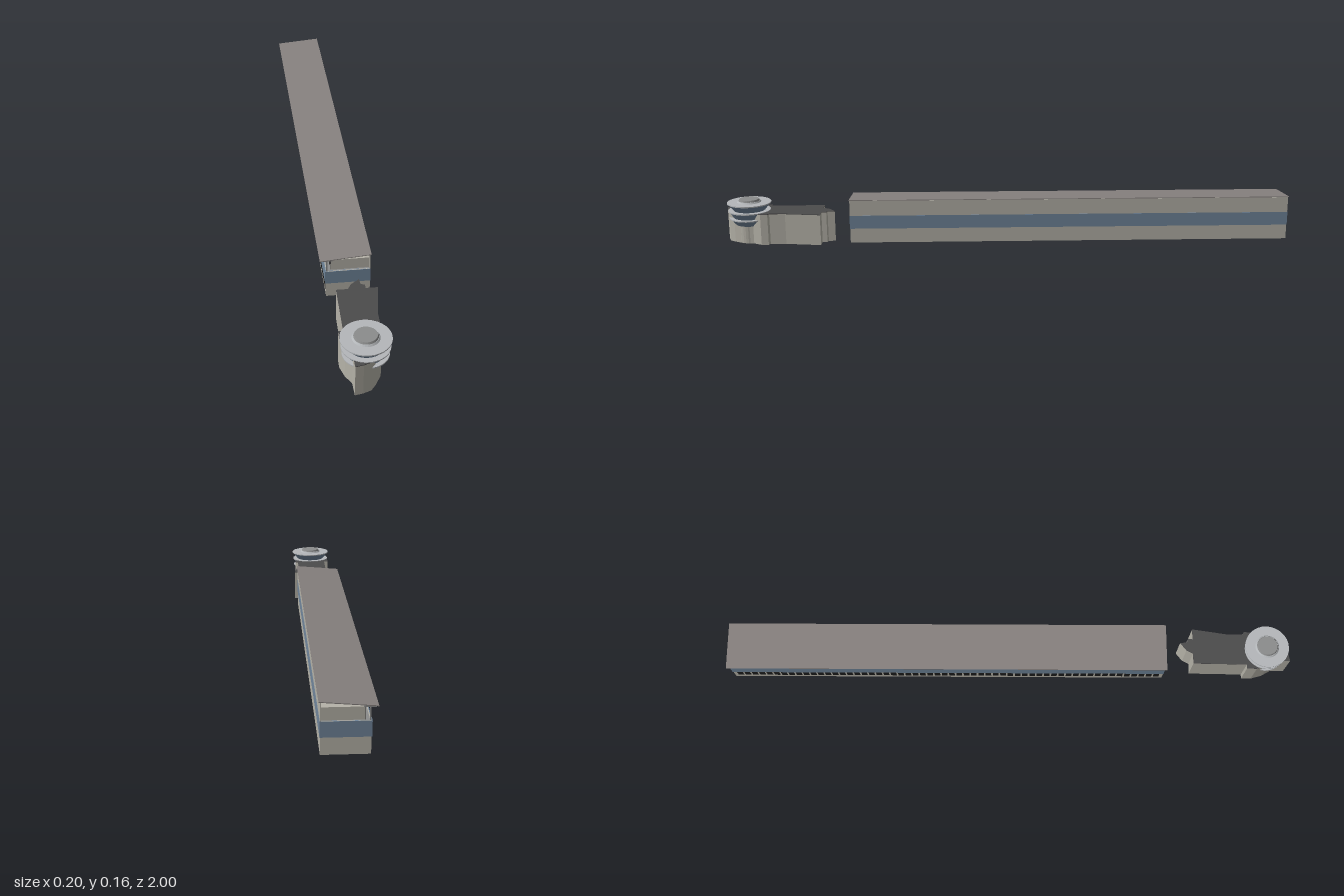
import * as THREE from 'three';

const mat = (color) => new THREE.MeshStandardMaterial({ color, side: THREE.DoubleSide, flatShading: true });

export function createModel() {
  const wall = mat(0xb5b2a8), blue = mat(0x70859a), roofMat = mat(0x86807e);
  const dark = mat(0x4c4b4c), black = mat(0x1c1c1c), light = mat(0xb4b7ba), grey = mat(0x8b8c8c);
  const model = new THREE.Group();

  const add = (parent, name, geometry, material) => {
    const m = new THREE.Mesh(geometry, material);
    m.name = name;
    parent.add(m);
    return m;
  };
  // Box given by its minimum and maximum corners
  const box = (parent, name, material, x0, x1, y0, y1, z0, z1) => {
    const m = add(parent, name, new THREE.BoxGeometry(x1 - x0, y1 - y0, z1 - z0), material);
    m.position.set((x0 + x1) / 2, (y0 + y1) / 2, (z0 + z1) / 2);
    return m;
  };

  // Long hall: open-bottomed shell, slightly turned
  const hall = new THREE.Group();
  hall.name = 'longHall';
  hall.position.set(-0.0075, 0, -0.222);
  hall.rotation.y = 0.016;
  model.add(hall);
  const H = 0.775, L = -0.062, R = 0.079, T = 0.003;
  box(hall, 'plainWall', wall, R - T, R, 0.007, 0.159, -H, H);
  box(hall, 'windowWall', wall, L, L + T, 0.007, 0.105, -H, H);
  box(hall, 'upperFloor', dark, L + T, R - T, 0.055, 0.058, -H + T, H - T);
  box(hall, 'balconyFloor', grey, L + T, R - T, 0.1, 0.104, -H + T, H - T);
  for (const s of [-1, 1]) {
    const z0 = s > 0 ? H - T : -H, z1 = z0 + T;
    box(hall, 'endWall', wall, L, R, 0.007, 0.105, z0, z1);
    box(hall, 'endBand', blue, L - 0.003, R + 0.001, 0.058, 0.105, z0 - 0.001, z1 + 0.001);
  }
  box(hall, 'sideBand', blue, R - T, R + 0.001, 0.058, 0.105, -H, H);
  box(hall, 'sideBand', blue, L - 0.003, L + T, 0.058, 0.105, -H, H);

  // Recessed upper storey, its mullions and the edge posts
  box(hall, 'upperStorey', wall, L + 0.016, R - T, 0.104, 0.142, -H + 0.01, H - 0.01);
  const bays = 10, perBay = 6;
  for (let i = 0; i <= bays; i++) {
    const z = -H + 0.004 + (i / bays) * (2 * H - 0.008);
    box(hall, 'roofPost', grey, L, L + 0.004, 0.104, 0.147, z - 0.002, z + 0.002);
    box(hall, 'roofBeam', grey, L - 0.014, L + 0.02, 0.143, 0.147, z - 0.002, z + 0.002);
  }
  for (let i = 0; i <= bays * perBay; i++) {
    const z = -H + 0.012 + (i / (bays * perBay)) * (2 * H - 0.024);
    box(hall, 'mullion', dark, L + 0.014, L + 0.016, 0.104, 0.142, z - 0.001, z + 0.001);
  }

  // Row of dark openings along the ground floor
  const count = 58, step = (2 * H - 0.02) / count;
  for (let i = 0; i < count; i++) {
    const z = -H + 0.01 + (i + 0.5) * step;
    box(hall, 'window', black, L - 0.001, L + T + 0.001, 0.024, 0.051, z - step * 0.38, z + step * 0.38);
  }

  // Thin roof rising towards the plain wall and overhanging the windows
  const roof = box(hall, 'roof', roofMat, -0.0825, 0.0825, 0.153, 0.1555, -H - 0.002, H + 0.002);
  roof.rotation.z = 0.085;

  // Annex: plan outlines in x and z, raised straight up
  const prism = (parent, name, pts, y0, y1, material) => {
    const shape = new THREE.Shape(pts.map(([x, z]) => new THREE.Vector2(x, z)));
    const g = new THREE.ExtrudeGeometry(shape, { depth: y1 - y0, bevelEnabled: false });
    g.rotateX(Math.PI / 2);
    g.translate(0, y1, 0);
    return add(parent, name, g, material);
  };
  const annex = new THREE.Group();
  annex.name = 'annex';
  model.add(annex);
  const plan = [
    [-0.037, 0.655], [0, 0.655], [0.012, 0.632], [0.04, 0.61], [0.042, 0.635], [0.055, 0.638], [0.055, 0.655],
    [0.093, 0.655], [0.076, 0.78], [0.076, 0.835], [0.086, 0.84], [0.086, 0.865], [0.068, 0.895],
    [0.064, 0.93], [0.045, 0.965], [0.03, 0.985], [0.005, 0.995], [-0.02, 1.0],
    [-0.022, 0.95], [-0.04, 0.92], [-0.052, 0.88], [-0.052, 0.845], [-0.037, 0.845],
  ];
  prism(annex, 'annexWalls', plan, 0.001, 0.11, wall);
  prism(annex, 'annexRoof', plan, 0.11, 0.112, dark);

  // Round tower: drum, three flared glass tiers with pale rims, and a cap
  const tower = new THREE.Group();
  tower.name = 'tower';
  tower.position.set(0.021, 0, 0.914);
  model.add(tower);
  const round = (name, rTop, rBottom, y0, y1, material) => {
    const m = add(tower, name, new THREE.CylinderGeometry(rTop, rBottom, y1 - y0, 32), material);
    m.position.y = (y0 + y1) / 2;
  };
  round('drum', 0.046, 0.046, 0.001, 0.14, wall);
  round('drumBase', 0.046, 0.046, 0, 0.001, dark);
  const tiers = [[0.063, 0.084, 0.05, 0.068], [0.087, 0.11, 0.056, 0.071], [0.113, 0.138, 0.055, 0.074]];
  for (const [y0, y1, r0, r1] of tiers) {
    round('glassTier', r1, r0, y0, y1, blue);
    round('tierRim', r1 + 0.003, r1 + 0.003, y1, y1 + 0.004, light);
  }
  round('capBase', 0.038, 0.042, 0.142, 0.147, light);
  round('cap', 0.034, 0.037, 0.147, 0.153, grey);

  return model;
}
